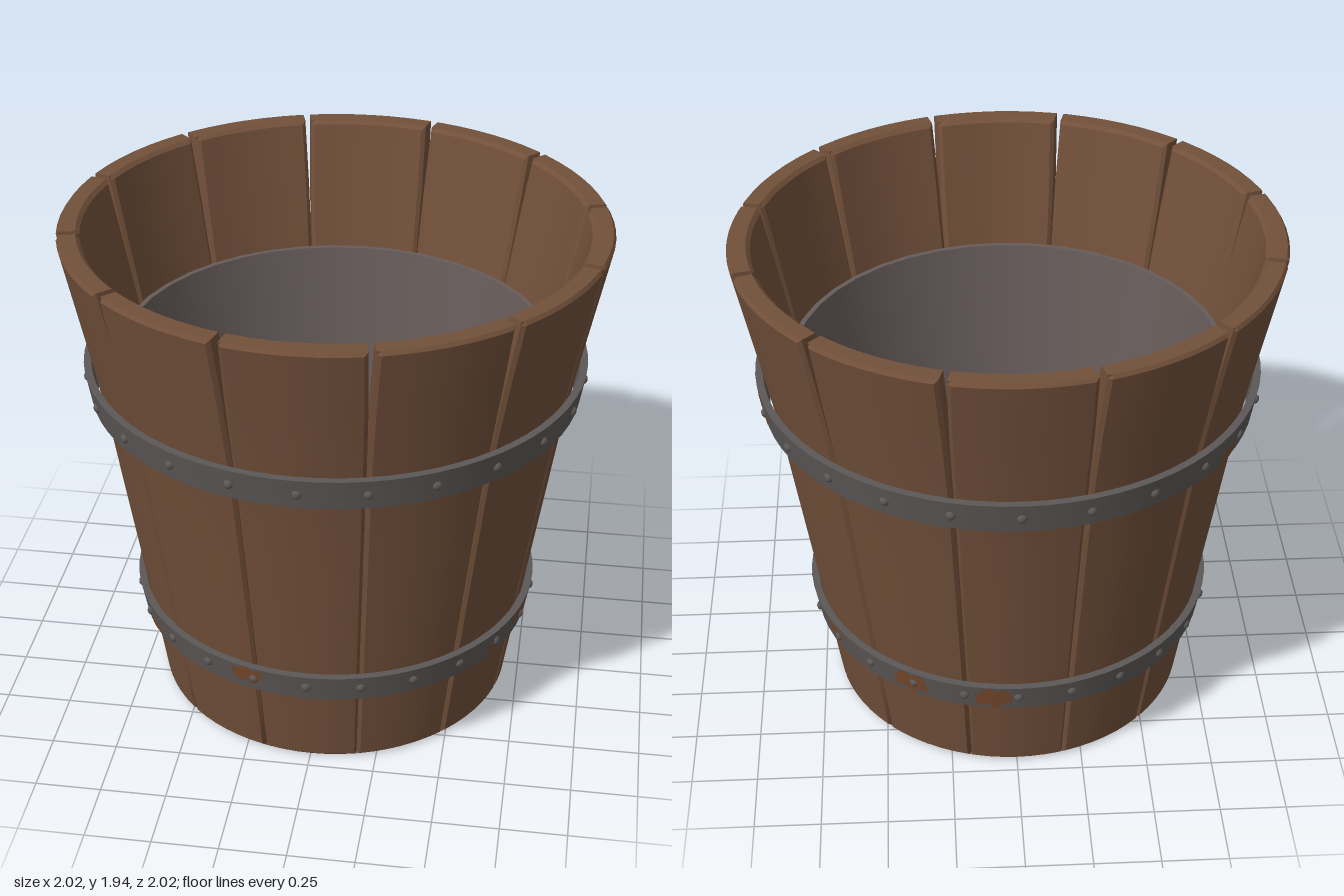
import * as THREE from 'three';
import { toCreasedNormals } from 'three/addons/utils/BufferGeometryUtils.js';

const RAD = Math.PI / 180;
const STAVES = 12;
const RIVETS = 24;
const HEIGHT = 1.94;
const THICKNESS = 0.085;
const BEVEL = 0.012;

const mat = (name, color, side = THREE.FrontSide) => {
  const m = new THREE.MeshStandardMaterial({ color, side });
  m.name = name;
  return m;
};

// outer radius of the bucket: a straight taper that flares near the rim
const outerRadius = (y) => 0.69 + 0.15 * y + 0.033 * Math.max(0, (y - 1.3) / 0.64);

// one curved, tapered plank with chamfered edges, bent from a box
function staveGeometry() {
  const nu = 8, nv = 10;
  const geo = new THREE.BoxGeometry(1, 1, 1, nu, nv, 1);
  const p = geo.attributes.position;
  // even steps, with one narrow step at each end for the chamfer
  const spaced = (t, n, edge) => {
    const i = Math.round((t + 0.5) * n);
    if (i === 0 || i === n) return i / n;
    return edge + (1 - 2 * edge) * (i - 1) / (n - 2);
  };
  for (let i = 0; i < p.count; i++) {
    const u = spaced(p.getX(i), nu, 0.03) * 2 - 1;
    const v = spaced(p.getY(i), nv, 0.007);
    const y = v * HEIGHT;
    // joints open up towards the rim
    const open = Math.max(0, (y - 1.4) / 0.54);
    const half = 15 - 0.12 - 0.65 * open * open;
    const bevel = Math.abs(u) === 1 || v === 0 || v === 1 ? BEVEL : 0;
    const r = p.getZ(i) > 0 ? outerRadius(y) - bevel : outerRadius(y) - THICKNESS + bevel;
    const a = u * half * RAD;
    p.setXYZ(i, r * Math.sin(a), y, r * Math.cos(a));
  }
  return toCreasedNormals(geo, 0.5);
}

// ring or shell turned around the y axis
function turned(points, segments) {
  const geo = new THREE.LatheGeometry(points.map(([r, y]) => new THREE.Vector2(r, y)), segments);
  return toCreasedNormals(geo, 0.5);
}

const bandRadius = (b, y) => b.r0 + (b.r1 - b.r0) * (y - b.y0) / (b.y1 - b.y0);

// thin ragged patch following a band: centre and width in degrees, low and high as shares of the band
function patchGeometry(band, [centre, width, low, high]) {
  const columns = 8;
  const geo = new THREE.PlaneGeometry(1, 1, columns, 1);
  const p = geo.attributes.position;
  for (let i = 0; i < p.count; i++) {
    const u = p.getX(i);
    const wave = 0.14 * Math.sin(u * 13 + centre);
    const spread = 0.5 + 0.5 * Math.cos(u * Math.PI);
    const t = (low + high) / 2 + p.getY(i) * (high - low) * spread + wave * (high - low);
    const y = THREE.MathUtils.lerp(band.y0, band.y1, THREE.MathUtils.clamp(t, 0, 1));
    const a = (centre + u * width) * RAD;
    const r = bandRadius(band, y) + 0.002;
    p.setXYZ(i, r * Math.sin(a), y, r * Math.cos(a));
  }
  geo.computeVertexNormals();
  return geo;
}

const LOWER = { name: 'lowerBand', y0: 0.34, y1: 0.45, r0: 0.768, r1: 0.788, rivetY: 0.4 };
LOWER.rust = [
  [-17, 9, 0.3, 1], [-57, 9, 0, 0.4], [59, 5, 0.1, 0.6], [73, 9, 0.6, 1],
  [92, 6, 0, 0.45], [119, 7, 0.35, 1], [149, 10, 0.1, 1], [173, 10, 0.05, 0.95],
];
const UPPER = { name: 'upperBand', y0: 1.29, y1: 1.41, r0: 0.925, r1: 0.945, rivetY: 1.35 };
UPPER.rust = [[93, 8, 0, 0.6], [101, 14, 0.1, 0.8], [235, 6, 0, 0.45]];

export function createModel() {
  const wood = mat('wood', 0x72503a);
  const darkWood = mat('dark wood', 0x4a3324);
  const iron = mat('iron', 0x5c5857);
  const lining = mat('lining grey', 0x665c5a);
  const rust = mat('rust', 0x7a4a2c, THREE.DoubleSide);

  const model = new THREE.Group();
  model.name = 'bucket';
  const add = (parent, name, geo, material) => {
    const mesh = new THREE.Mesh(geo, material);
    mesh.name = name;
    parent.add(mesh);
    return mesh;
  };

  // ring of planks
  const staves = new THREE.Group();
  staves.name = 'staves';
  model.add(staves);
  const stave = staveGeometry();
  for (let i = 0; i < STAVES; i++) {
    add(staves, 'stave', stave, wood).rotation.y = i * 2 * Math.PI / STAVES;
  }

  // inner container and underside
  add(model, 'liner', turned([[0.63, 0.08], [0.82, 1.44], [0.8, 1.44], [0.6, 0.1], [0, 0.1]], 40), lining);
  const base = add(model, 'base', new THREE.CircleGeometry(0.64, 40), darkWood);
  base.rotation.x = Math.PI / 2;
  base.position.y = 0.015;

  // metal hoops with rivets and rust patches
  const rivet = new THREE.SphereGeometry(0.018, 10, 6);
  rivet.scale(1, 1, 0.7);
  const depth = 0.028;
  for (const b of [LOWER, UPPER]) {
    const group = new THREE.Group();
    group.name = b.name;
    model.add(group);
    const section = [[b.r0, b.y0], [b.r1, b.y1], [b.r1 - depth, b.y1], [b.r0 - depth, b.y0], [b.r0, b.y0]];
    add(group, 'hoop', turned(section, 72), iron);
    for (let i = 0; i < RIVETS; i++) {
      const a = i * 2 * Math.PI / RIVETS;
      const r = bandRadius(b, b.rivetY);
      const m = add(group, 'rivet', rivet, iron);
      m.position.set(r * Math.sin(a), b.rivetY, r * Math.cos(a));
      m.rotation.y = a;
    }
    for (const patch of b.rust) add(group, 'rustPatch', patchGeometry(b, patch), rust);
  }
  return model;
}
